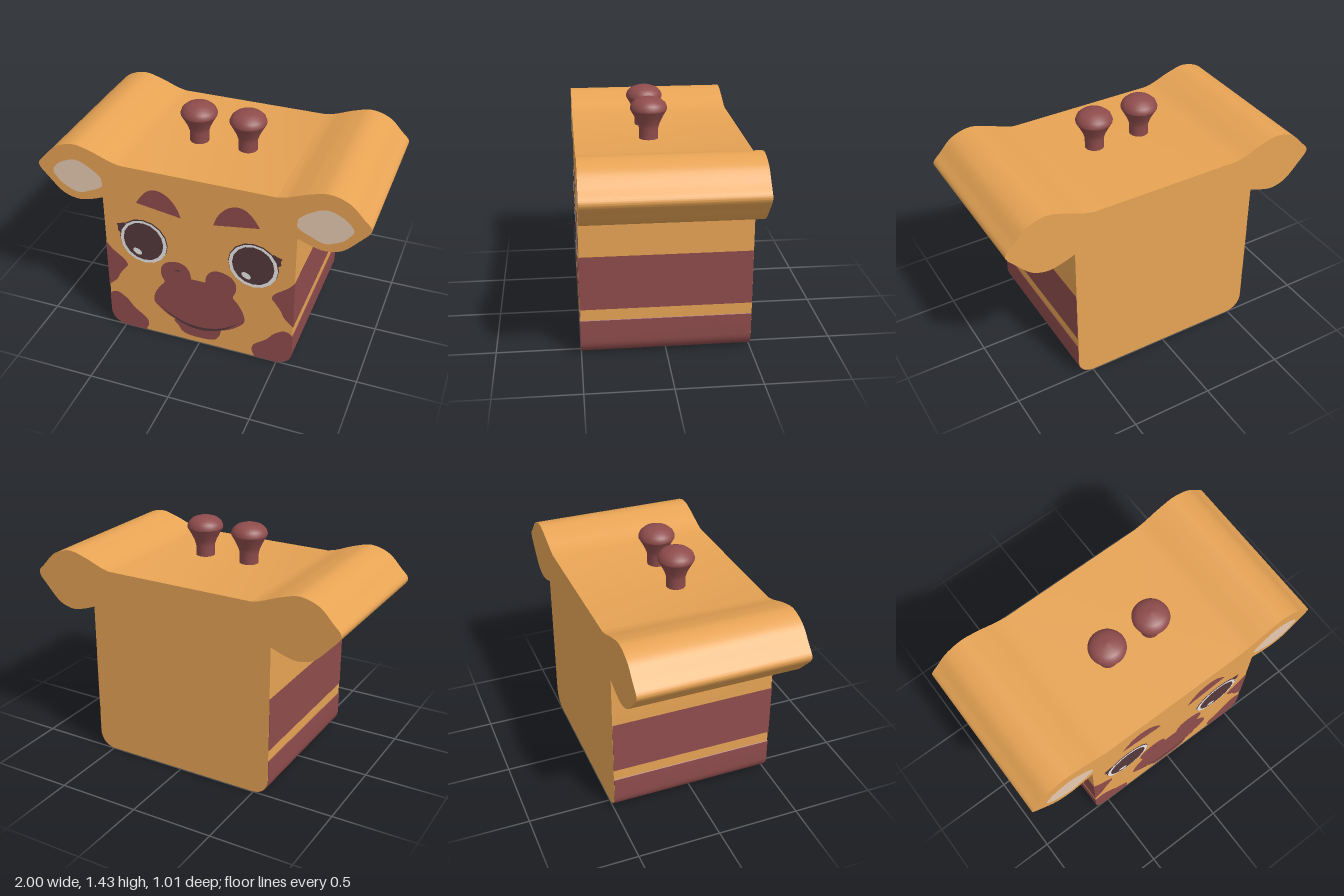
import * as THREE from 'three';
import { toCreasedNormals } from 'three/addons/utils/BufferGeometryUtils.js';

const material = (name, color) => {
  const m = new THREE.MeshStandardMaterial({ color });
  m.name = name;
  return m;
};
const vectors = (pts) => pts.map(([x, y]) => new THREE.Vector2(x, y));
const mirror = (pts) => pts.map(([x, y]) => [-x, y]);

// closed smooth outline through the points
function blob(pts) {
  const s = new THREE.Shape().moveTo(...pts[0]);
  s.splineThru(vectors([...pts.slice(1), pts[0]]));
  return s;
}

function ellipse(x, y, rx, ry, turn = 0) {
  const s = new THREE.Shape();
  s.absellipse(x, y, rx, ry, 0, Math.PI * 2, false, turn);
  return s;
}

export function createModel() {
  const group = new THREE.Group();
  group.name = 'giraffeBlock';
  const tan = material('tan', 0xffb55e);
  const brown = material('brown', 0x8f4c4c);
  const peach = material('peach', 0xffdfc4);
  const dark = material('dark', 0x54383c);
  const white = material('white', 0xffffff);

  const add = (name, geometry, mat) => {
    const mesh = new THREE.Mesh(geometry, mat);
    mesh.name = name;
    group.add(mesh);
    return mesh;
  };
  const extrude = (shape, z0, z1) => {
    const g = new THREE.ExtrudeGeometry(shape, { depth: z1 - z0, bevelEnabled: false, curveSegments: 8 });
    return toCreasedNormals(g.translate(0, 0, z0), 0.6);
  };
  // painted face lying just in front of the head
  const paint = (name, shape, mat, layer = 1) => {
    add(name, new THREE.ShapeGeometry(shape, 8), mat).position.z = 0.5 + layer * 0.0025;
  };

  // head and ears: one outline extruded front to back
  const W = 0.593, R = 0.1, H = 1.187;
  const ear = [
    [W, 0.945], [0.675, 0.915], [0.76, 0.9], [0.855, 0.93], [0.95, 1.025], [0.992, 1.075],
    [0.994, 1.11], [0.95, 1.157], [0.87, 1.235], [0.76, 1.27], [0.65, 1.247], [0.53, 1.202], [0.47, H],
  ];
  const head = new THREE.Shape()
    .moveTo(-W + R, 0)
    .lineTo(W - R, 0)
    .absarc(W - R, R, R, -Math.PI / 2, 0)
    .lineTo(...ear[0])
    .splineThru(vectors(ear.slice(1)))
    .lineTo(-0.47, H)
    .splineThru(vectors(mirror(ear).reverse().slice(1)))
    .lineTo(-W, R)
    .absarc(-W + R, R, R, Math.PI, Math.PI * 1.5);
  add('headAndEars', extrude(head, -0.5, 0.5), tan);

  const innerEar = [
    [0.594, 1.08], [0.655, 1.13], [0.75, 1.17], [0.85, 1.135], [0.903, 1.075], [0.885, 1.03],
    [0.84, 0.985], [0.75, 0.95], [0.665, 0.98], [0.594, 1.02],
  ];
  const brow = [[0.1, 0.915], [0.125, 0.98], [0.18, 1.045], [0.245, 1.07], [0.3, 1.055], [0.345, 1.01], [0.378, 0.958]];
  const sideSpot = [[W, 0.63], [0.55, 0.58], [0.48, 0.525], [0.458, 0.485], [0.485, 0.445], [0.515, 0.4], [0.537, 0.355], [W, 0.3]];
  const lowSpot = [
    [W, 0.23], [0.567, 0.25], [0.53, 0.253], [0.475, 0.215], [0.43, 0.16], [0.352, 0.095], [0.34, 0.045], [0.36, 0],
  ];
  const lash = [[0.46, 0.8], [0.515, 0.78], [0.505, 0.762], [0.51, 0.735], [0.49, 0.72], [0.45, 0.76]];

  for (const side of [1, -1]) {
    const label = side > 0 ? 'left' : 'right';
    const flip = (pts) => (side > 0 ? pts : mirror(pts));
    paint(label + 'InnerEar', blob(flip(innerEar)), peach);

    // brow: curved top, straight underside
    const browPts = flip(brow);
    paint(label + 'Brow', new THREE.Shape().moveTo(...browPts[0]).splineThru(vectors(browPts.slice(1))), brown);

    // spots run through the block, so they also band its sides and underside
    const mid = flip(sideSpot);
    const midShape = new THREE.Shape().moveTo(...mid[0]).splineThru(vectors(mid.slice(1)));
    const midMesh = add(label + 'SideSpot', extrude(midShape, -0.499, 0.5025), brown);
    midMesh.position.x = side * 0.003;

    const corner = [];
    for (let i = 0; i <= 8; i++) {
      const a = (-1 + i / 8) * Math.PI / 2;
      corner.push([W - R + R * Math.cos(a), R + R * Math.sin(a)]);
    }
    const low = flip(lowSpot);
    const lowShape = new THREE.Shape().moveTo(...low[0]).splineThru(vectors(low.slice(1)));
    flip(corner).forEach((p) => lowShape.lineTo(...p));
    const lowMesh = add(label + 'LowerSpot', extrude(lowShape, -0.499, 0.5025), brown);
    lowMesh.position.set(side * 0.003, -0.002, 0);

    // eye layers, with the glint on the same side in both eyes
    const x = side * 0.343;
    paint(label + 'EyeOutline', ellipse(x, 0.694, 0.154, 0.152), dark, 1);
    paint(label + 'EyeLash', new THREE.Shape(vectors(flip(lash))), dark, 1);
    paint(label + 'EyeWhite', ellipse(x, 0.688, 0.15, 0.151), white, 2);
    paint(label + 'Pupil', ellipse(x, 0.692, 0.128, 0.133), dark, 3);
    paint(label + 'EyeGlint', ellipse(x - 0.04, 0.614, 0.031, 0.02, -0.5), white, 4);

    // horn with a flared stalk and domed cap
    const stalk = [[0.057, 1.17], [0.057, 1.25], [0.068, 1.285], [0.088, 1.325], [0.108, 1.36]];
    const cap = [[0.108, 1.36], [0.109, 1.372], [0.1, 1.395], [0.078, 1.415], [0.042, 1.428], [0, 1.432]];
    [['HornStalk', stalk], ['HornCap', cap]].forEach(([part, pts]) => {
      add(label + part, new THREE.LatheGeometry(vectors(pts), 32), brown).position.set(side * 0.152, 0, 0.062);
    });
  }

  // muzzle with two nostril bumps, and the lower lip
  const muzzle = [
    [0.045, 0.487], [0.055, 0.54], [0.09, 0.58], [0.145, 0.59], [0.205, 0.568], [0.237, 0.525], [0.238, 0.47],
    [0.22, 0.42], [0.25, 0.38], [0.285, 0.315], [0.293, 0.255], [0.265, 0.215], [0.2, 0.165], [0.12, 0.13],
  ];
  const muzzleShape = new THREE.Shape()
    .moveTo(...muzzle[0])
    .splineThru(vectors(muzzle.slice(1)))
    .lineTo(0, 0.115)
    .lineTo(-0.12, 0.13)
    .splineThru(vectors(mirror(muzzle).reverse().slice(1)));
  paint('muzzle', muzzleShape, brown);
  const lip = [[0.145, 0.15], [0.135, 0.1], [0.105, 0.058], [0.05, 0.043]];
  paint('lowerLip', blob([...lip, ...mirror(lip).reverse()]), brown, 2);

  // smiling mouth and a small nostril mark
  const smile = new THREE.Shape()
    .moveTo(-0.262, 0.238)
    .quadraticCurveTo(-0.14, 0.108, 0, 0.108)
    .quadraticCurveTo(0.14, 0.108, 0.262, 0.238)
    .quadraticCurveTo(0.14, 0.13, 0, 0.13)
    .quadraticCurveTo(-0.14, 0.13, -0.262, 0.238);
  paint('mouth', smile, dark, 3);
  paint('nostrilMark', ellipse(-0.13, 0.53, 0.02, 0.005), dark, 2);

  return group;
}
